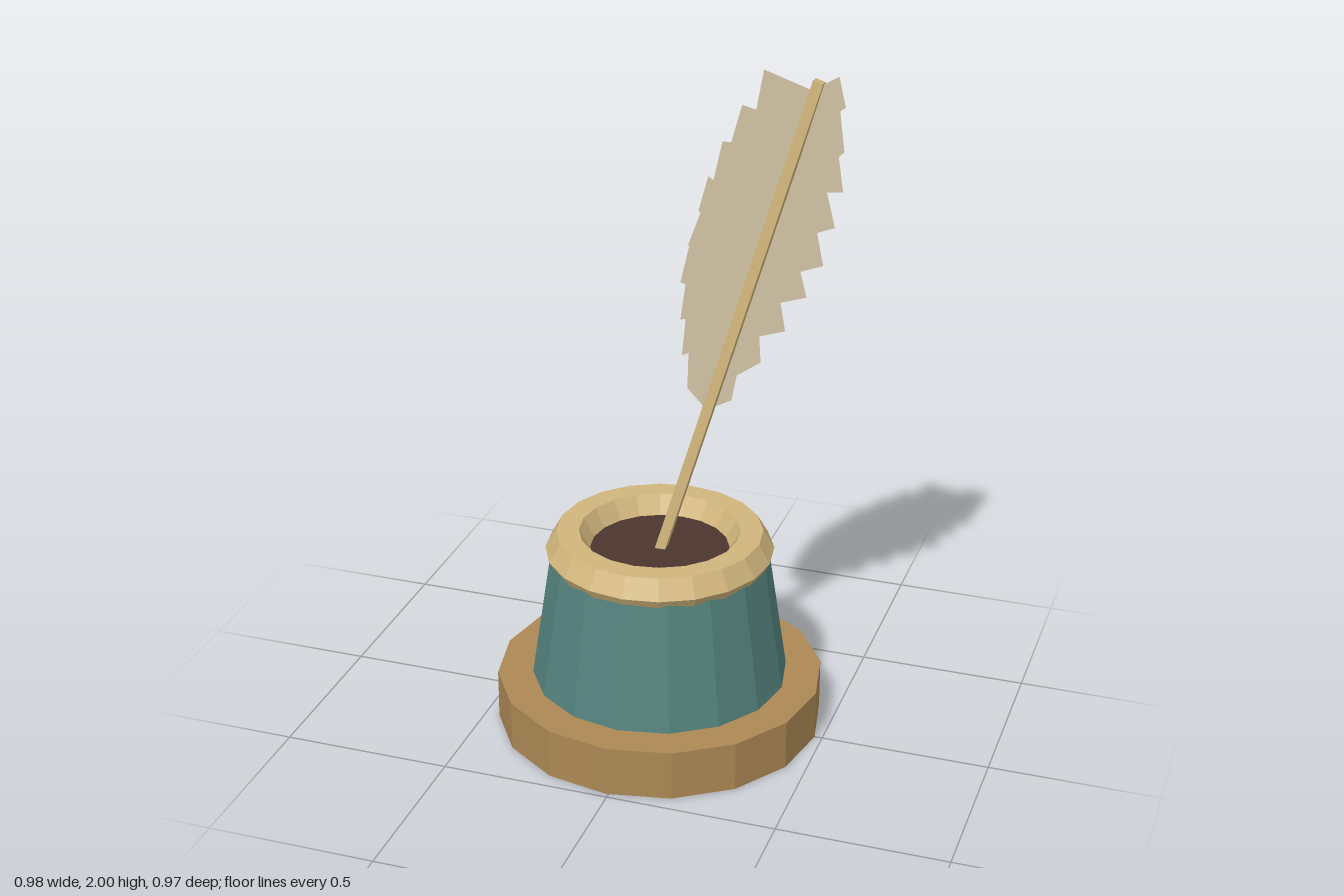
import * as THREE from 'three';

const mat = (name, color, extra = {}) => {
  const m = new THREE.MeshStandardMaterial({ color, flatShading: true, ...extra });
  m.name = name;
  return m;
};

export function createModel() {
  const wood = mat('wood', 0xac8855);
  const teal = mat('teal glaze', 0x54837e);
  const gold = mat('pale gold', 0xd0b57c);
  const ink = mat('ink', 0x4c352f);
  const vane = mat('feather', 0xcfc1a3, { side: THREE.DoubleSide });

  const group = new THREE.Group();
  group.name = 'inkwellWithQuill';
  const add = (name, geometry, material, x, y, z) => {
    const mesh = new THREE.Mesh(geometry, material);
    mesh.name = name;
    mesh.position.set(x, y, z);
    group.add(mesh);
    return mesh;
  };
  const cx = -0.008; // the well sits slightly left of centre

  // Stand, tapered pot and hexagonal-section rim
  add('base', new THREE.CylinderGeometry(0.485, 0.485, 0.15, 16), wood, cx, 0.075, 0);
  add('pot', new THREE.CylinderGeometry(0.32, 0.38, 0.4, 16), teal, cx, 0.35, 0);
  add('rim', new THREE.TorusGeometry(0.27, 0.066, 6, 20).rotateX(Math.PI / 2), gold, cx, 0.555, 0);
  add('inkSurface', new THREE.CylinderGeometry(0.21, 0.21, 0.008, 20), ink, cx, 0.552, 0);

  // Square quill shaft leaning right and back
  const foot = new THREE.Vector3(cx, 0.54, 0);
  const tip = new THREE.Vector3(0.41, 1.982, -0.1);
  const axis = tip.clone().sub(foot);
  const mid = foot.clone().add(tip).multiplyScalar(0.5);
  const shaft = add('quillShaft', new THREE.BoxGeometry(0.03, axis.length(), 0.03), gold, mid.x, mid.y, mid.z);
  shaft.quaternion.setFromUnitVectors(new THREE.Vector3(0, 1, 0), axis.normalize());

  // Flat upright vane with saw-toothed edges: right edge downwards, then left edge upwards
  const outline = [
    [0.39, 1.955], [0.465, 2], [0.485, 1.915], [0.47, 1.905], [0.485, 1.79], [0.47, 1.775],
    [0.485, 1.675], [0.44, 1.67], [0.465, 1.57], [0.415, 1.55], [0.435, 1.455], [0.37, 1.43],
    [0.39, 1.355], [0.315, 1.33], [0.33, 1.245], [0.255, 1.22], [0.26, 1.14], [0.19, 1.09],
    [0.175, 1.01], [0.1, 0.97],
    [0.042, 1.03], [0.045, 1.14], [0.025, 1.13], [0.036, 1.245], [0.02, 1.24], [0.035, 1.35],
    [0.02, 1.355], [0.045, 1.465], [0.042, 1.47], [0.078, 1.57], [0.072, 1.575], [0.1, 1.68],
    [0.115, 1.67], [0.14, 1.785], [0.165, 1.785], [0.195, 1.895], [0.235, 1.885], [0.255, 2],
  ].map(([x, y]) => new THREE.Vector2(x, y));
  add('featherVane', new THREE.ShapeGeometry(new THREE.Shape(outline)), vane, 0, 0, -0.1);

  return group;
}
